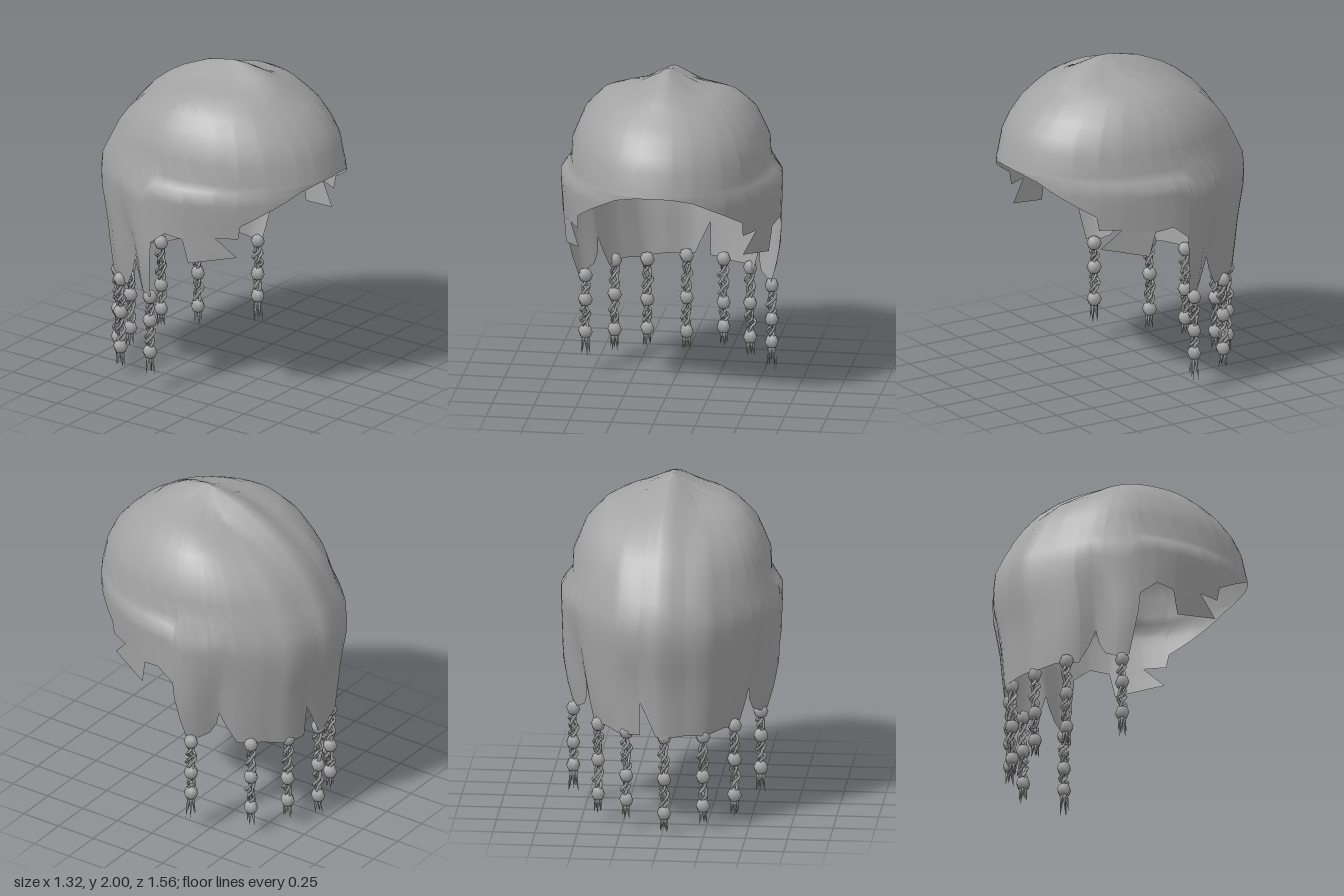
import * as THREE from 'three';

const hair = new THREE.MeshStandardMaterial({ color: 0xa3a3a3, side: THREE.DoubleSide });
hair.name = 'hairGrey';
const { smoothstep, lerp } = THREE.MathUtils;

// Piecewise linear lookup in a list of [key, value]
function lookup(list, k) {
  if (k <= list[0][0]) return list[0][1];
  for (let i = 1; i < list.length; i++) {
    const [k0, v0] = list[i - 1], [k1, v1] = list[i];
    if (k <= k1) return v0 + (v1 - v0) * (k - k0) / (k1 - k0);
  }
  return list[list.length - 1][1];
}

// Half-width, front depth and back depth of the hair at each height
const WIDTH = [[0.6, 0.545], [0.75, 0.585], [0.9, 0.61], [1.1, 0.615], [1.34, 0.623], [1.43, 0.59],
  [1.55, 0.585], [1.72, 0.515], [1.83, 0.415], [1.9, 0.27], [1.93, 0]];
const FRONT = [[1.41, 0.775], [1.6, 0.73], [1.7, 0.65], [1.785, 0.56], [1.875, 0.38], [1.915, 0.2], [1.93, 0]];
const BACK = [[0.6, 0.675], [0.92, 0.7], [1.14, 0.745], [1.3, 0.745], [1.51, 0.645], [1.67, 0.53],
  [1.75, 0.42], [1.82, 0.3], [1.89, 0.18], [1.93, 0]];

// Height of the lower edge by angle from the front, in degrees
const EDGE = [[0, 1.41], [10, 1.405], [22, 1.375], [40, 1.27], [53, 1.185], [54.5, 1.1], [64, 1.1], [80, 1.07],
  [88, 1.09], [96, 1.01], [97, 0.9], [99, 0.75], [100.5, 0.63], [105, 0.615], [113, 0.655], [117, 0.72],
  [119, 0.8], [122, 0.71], [127, 0.6], [140, 0.61], [152, 0.59], [166, 0.6]];
const LEFT_EDGE = [...EDGE, [167.5, 0.8], [176, 0.6], [180, 0.59]];
const RIGHT_EDGE = [...EDGE, [180, 0.59]];

// Point on the hair surface at an angle and height, with grooves, lobes and the raised centre ridge
function surface(deg, y) {
  const a = deg * Math.PI / 180, s = Math.sin(a), c = Math.cos(a);
  const bump = (at, width) => Math.exp(-(((Math.abs(deg) - at) / width) ** 2));
  const groove = 0.1 * bump(118, 9) * (1 - smoothstep(y, 0.75, 1.35));
  const scale = 1 + 0.035 * bump(157, 9) - groove;
  const ear = 0.037 * bump(95, 32) * (1 - smoothstep(y, 1.34, 1.43));
  const taper = 1 - 0.04 * Math.min(1, Math.max(0, c * 3)) * (1 - smoothstep(y, 0.95, 1.35));
  const x = s * (lookup(WIDTH, y) + ear) * scale * taper;
  let z = c * lookup(c > 0 ? FRONT : BACK, y) * scale + 0.08 * smoothstep(y, 1.8, 1.93);
  const ridge = Math.min(1, Math.max(0, 1.1 - Math.abs(x) / 0.14));
  const top = smoothstep(y, 1.6, 1.9) * (1 - smoothstep(z, 0.17, 0.5));
  if (c < 0) z -= 0.035 * ridge * smoothstep(-z, 0.15, 0.5);
  return [x, y + 0.07 * ridge * top, z];
}

function meshFrom(points, index, name) {
  const g = new THREE.BufferGeometry();
  g.setAttribute('position', new THREE.Float32BufferAttribute(points.flat(), 3));
  g.setIndex(index);
  g.computeVertexNormals();
  const m = new THREE.Mesh(g, hair);
  m.name = name;
  return m;
}

// Hair shell: rings down to a belt, then rows stretched to the jagged edge
function makeCap() {
  const rings = [1.93, 1.924, 1.91, 1.89, 1.865, 1.83, 1.785, 1.72, 1.64, 1.55, 1.43];
  const set = new Set();
  for (let d = -180; d < 180; d += 6) set.add(d);
  for (const [d] of LEFT_EDGE) if (d < 180) set.add(d);
  for (const [d] of RIGHT_EDGE) if (d < 180) set.add(-d);
  const angles = [...set].sort((p, q) => p - q), n = angles.length, lower = 8;
  const points = [], index = [];
  for (let i = 0; i < rings.length + lower; i++) {
    for (const d of angles) {
      const edge = lookup(d > 0 ? LEFT_EDGE : RIGHT_EDGE, Math.abs(d));
      const y = i < rings.length ? rings[i] : lerp(1.43, edge, (i - rings.length + 1) / lower);
      points.push(surface(d, y));
    }
  }
  for (let i = 0; i < rings.length + lower - 1; i++) {
    for (let j = 0; j < n; j++) {
      const k = (j + 1) % n, a = i * n + j, b = i * n + k;
      index.push(a, a + n, b + n, a, b + n, b);
    }
  }
  return meshFrom(points, index, 'hairCap');
}

// Loose pointed lock in front of each ear
function makeLock(side) {
  const points = [[65, 1.1], [55.5, 0.98], [77.5, 0.92], [80, 1.08]].map(([d, y]) => surface(side * d, y));
  return meshFrom(points, side > 0 ? [0, 1, 2, 0, 2, 3] : [0, 2, 1, 0, 3, 2], side > 0 ? 'leftLock' : 'rightLock');
}

// Braid: three loosely twisted strands, beads and a frayed tip
function makeBraid(x, z, beads, bottom, id) {
  const g = new THREE.Group();
  g.name = 'braid' + id;
  const add = (geometry, name) => {
    const m = new THREE.Mesh(geometry, hair);
    m.name = name;
    g.add(m);
    return m;
  };
  const top = beads[0] + 0.02, tip = beads[2] - 0.03;
  for (let s = 0; s < 3; s++) {
    const path = [];
    for (let i = 0; i <= 20; i++) {
      const y = top + (tip - top) * i / 20;
      const near = Math.min(...beads.map(b => Math.abs(b - y)));
      const loose = 0.75 + 0.35 * Math.sin(i * 2.3 + s * 1.7 + id * 3);
      const r = Math.min(0.03, 0.008 + near * 0.3) * loose, a = i * 0.85 + s * 2.094 + id;
      path.push(new THREE.Vector3(x + r * Math.cos(a), y, z + r * Math.sin(a)));
    }
    add(new THREE.TubeGeometry(new THREE.CatmullRomCurve3(path), 40, 0.0105, 3), 'strand');
  }
  beads.forEach((y, i) => {
    const bead = add(new THREE.SphereGeometry(0.045, 6, 4), 'bead');
    bead.position.set(x, y, z);
    bead.rotation.y = i + id;
  });
  for (let s = 0; s < 5; s++) {
    const a = s * 1.257 + id, h = (tip - bottom) * (s % 2 ? 0.8 : 1);
    const wisp = new THREE.ConeGeometry(0.012, h, 4);
    wisp.rotateX(Math.PI);
    wisp.translate(0, -h / 2, 0);
    const m = add(wisp, 'frayedTip');
    m.position.set(x + 0.013 * Math.cos(a), tip, z + 0.013 * Math.sin(a));
    m.rotation.set(-0.14 * Math.sin(a), 0, 0.14 * Math.cos(a));
  }
  return g;
}

export function createModel() {
  const model = new THREE.Group();
  model.name = 'braidedHair';
  model.add(makeCap(), makeLock(1), makeLock(-1));
  const braids = [
    [-0.54, -0.155, [0.61, 0.46, 0.26], 0.11],
    [-0.41, -0.46, [0.61, 0.4, 0.18], 0.05],
    [-0.235, -0.6, [0.58, 0.33, 0.15], 0.04],
    [-0.01, -0.67, [0.59, 0.33, 0.12], 0],
    [0.22, -0.61, [0.6, 0.33, 0.18], 0.06],
    [0.4, -0.47, [0.6, 0.38, 0.17], 0.05],
    [0.575, -0.16, [0.6, 0.39, 0.25], 0.08],
  ];
  braids.forEach((b, i) => model.add(makeBraid(...b, i + 1)));
  return model;
}
